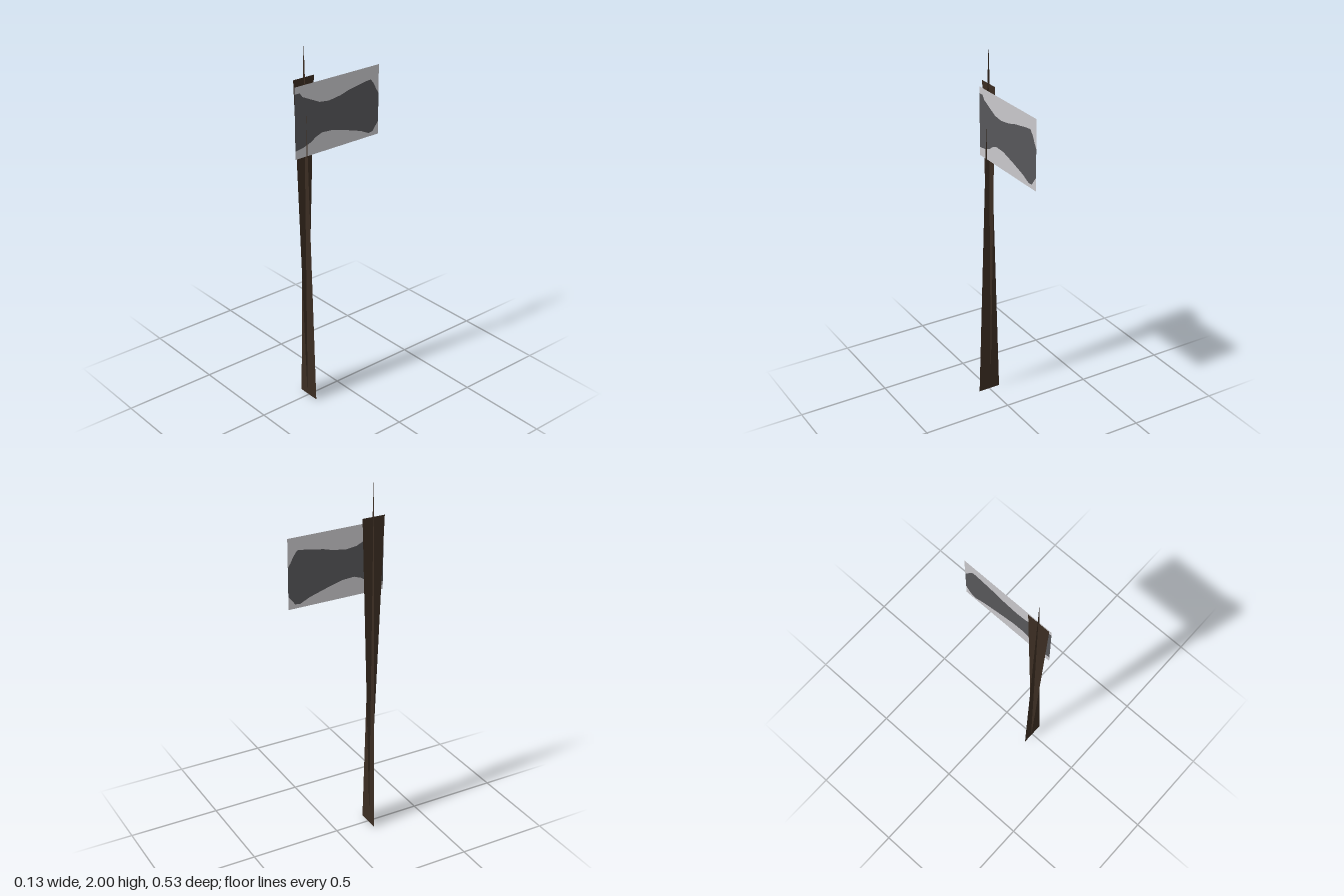
import * as THREE from 'three';

const flat = (color, name) => {
  const m = new THREE.MeshStandardMaterial({ color, side: THREE.DoubleSide });
  m.name = name;
  return m;
};

export function createModel() {
  const model = new THREE.Group();
  model.name = 'axe';
  const wood = flat(0x3b2d22, 'dark wood');
  const steel = flat(0x57575a, 'dark steel');
  const pale = flat(0xc9c8cb, 'pale grey');

  // Flat sheet from an outline of [x, y] points
  const sheet = (name, points, material) => {
    const shape = new THREE.Shape(points.map(([x, y]) => new THREE.Vector2(x, y)));
    const mesh = new THREE.Mesh(new THREE.ShapeGeometry(shape), material);
    mesh.name = name;
    return mesh;
  };

  // Handle: two crossed tapering sheets, one wide at the foot, one wide at the head
  const spike = sheet('handleCrossSheet', [[-0.063, 0], [0.063, 0], [-0.01, 2]], wood);
  spike.position.z = 0.198;
  const wedge = sheet('handleSideSheet', [[0, 0.01], [0.063, 1.79], [-0.063, 1.79]], wood);
  wedge.rotation.y = Math.PI / 2;
  wedge.position.set(-0.01, 0, 0.2);
  model.add(spike, wedge);

  // Head: a thin panel with the waisted blade silhouette between two pale fields
  const top = [[-0.267, 1.722], [-0.235, 1.722], [-0.22, 1.7], [-0.167, 1.675], [-0.114, 1.65],
    [-0.056, 1.643], [0.018, 1.653], [0.071, 1.668], [0.124, 1.677], [0.167, 1.685],
    [0.214, 1.69], [0.235, 1.664], [0.251, 1.632], [0.267, 1.606]];
  const bottom = [[-0.267, 1.431], [-0.22, 1.437], [-0.167, 1.455], [-0.14, 1.474], [-0.1, 1.488],
    [-0.035, 1.484], [0.045, 1.463], [0.098, 1.447], [0.15, 1.431], [0.204, 1.406],
    [0.23, 1.41], [0.267, 1.458]];
  const head = new THREE.Group();
  head.name = 'axeHead';
  head.add(
    sheet('blade', [...bottom, ...[...top].reverse()], steel),
    sheet('upperField', [...top, [0.267, 1.758], [-0.267, 1.758]], pale),
    sheet('lowerField', [[-0.267, 1.387], [0.267, 1.387], ...[...bottom].reverse()], pale),
  );
  head.rotation.y = Math.PI / 2;
  head.position.x = 0.004;
  model.add(head);

  return model;
}
